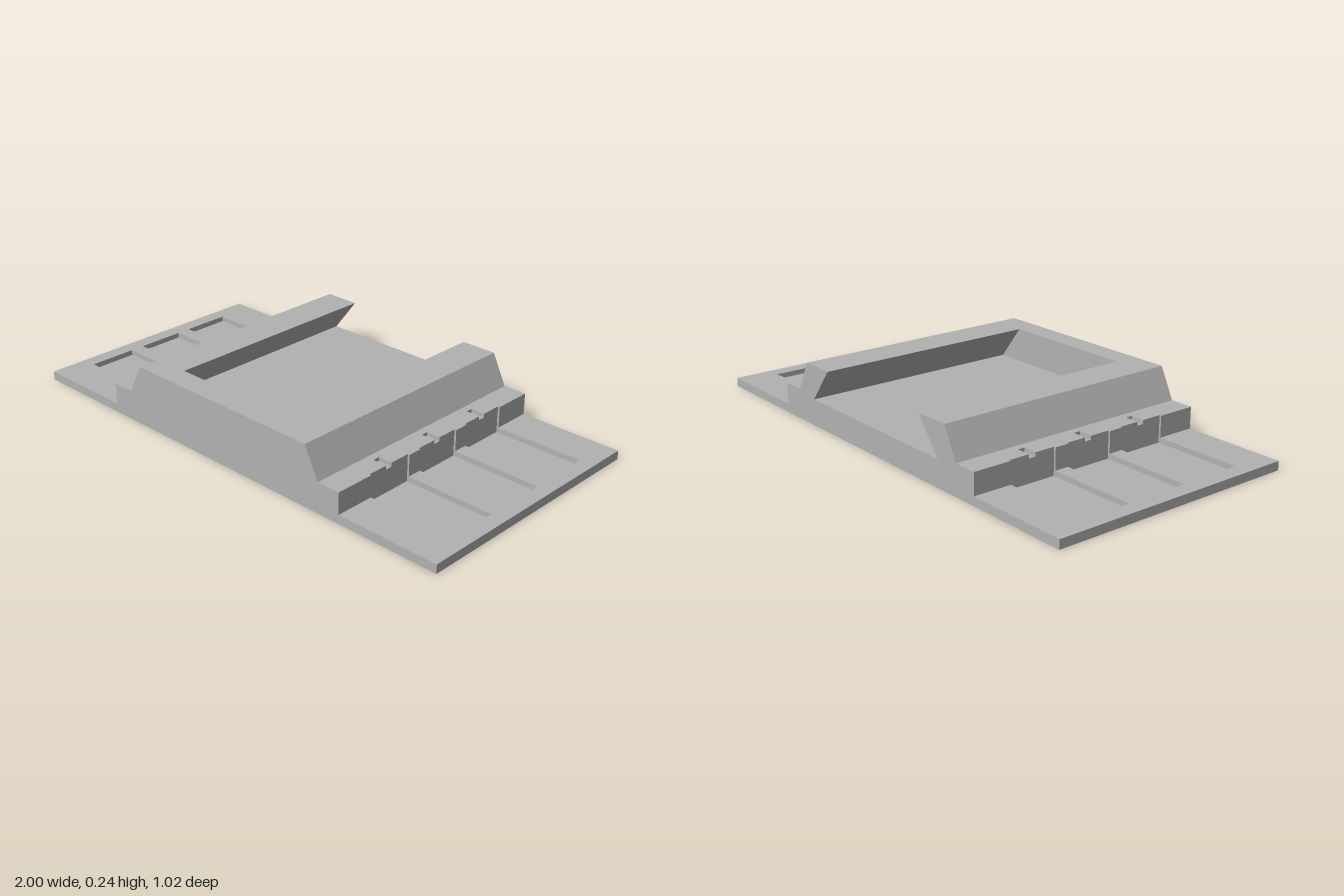
import * as THREE from 'three';

const DEPTH = 1.016, HZ = DEPTH / 2;
const PLATE = 0.035, POCKET = 0.014, FLOOR = 0.105, LEDGE = 0.12, TOP = 0.24;
const WALL = 0.585, RECESS = 0.577, SLOT = 0.52, RAIL = 0.49;
const BAYS = [-0.254, 0, 0.254];
const BAY_HALF = 0.098, SLOT_HALF = 0.014;

const polygon = (pts) => new THREE.Shape(pts.map(([x, y]) => new THREE.Vector2(x, y)));

// Plan outline (x, -z) raised from y0 to y1
function layer(shape, y0, y1) {
  const g = new THREE.ExtrudeGeometry(shape, { depth: y1 - y0, bevelEnabled: false });
  return g.rotateX(-Math.PI / 2).translate(0, y0, 0);
}

// Cross-section (x, y) swept from z0 to z1
function sweep(pts, z0, z1) {
  const g = new THREE.ExtrudeGeometry(polygon(pts), { depth: z1 - z0, bevelEnabled: false });
  return g.translate(0, 0, z0);
}

// Right-hand edge with a rectangular notch at each bay, running upward in plan
function notchedEdge(cuts) {
  const pts = [[WALL, -HZ]];
  for (const c of BAYS) {
    const half = [], other = [];
    for (const [x, h] of cuts) {
      const prev = half.length ? half[half.length - 1][0] : WALL;
      half.push([prev, c - h], [x, c - h]);
      other.unshift([x, c + h], [prev, c + h]);
    }
    pts.push(...half, ...other);
  }
  pts.push([WALL, HZ]);
  return pts;
}

export function createModel() {
  const model = new THREE.Group();
  const grey = new THREE.MeshStandardMaterial({ color: 0xb2b2b2 });
  grey.name = 'grey';

  const add = (name, geometry) => {
    const mesh = new THREE.Mesh(geometry, grey);
    mesh.name = name;
    model.add(mesh);
  };
  const mirror = (pts) => pts.map(([x, y]) => [-x, y]).reverse();

  // Bottom sheet, which also forms the pocket floors
  add('baseSheet', new THREE.BoxGeometry(2, POCKET, DEPTH).translate(0, POCKET / 2, 0));

  // Plate with three pockets on each side
  const plate = polygon([[-1, -HZ], [1, -HZ], [1, HZ], [-1, HZ]]);
  for (const s of [-1, 1]) {
    for (const c of BAYS) {
      const a = s * RECESS, b = s * 0.94;
      plate.holes.push(new THREE.Path([
        new THREE.Vector2(a, c - BAY_HALF), new THREE.Vector2(a, c + BAY_HALF),
        new THREE.Vector2(b, c + BAY_HALF), new THREE.Vector2(b, c - BAY_HALF),
      ]));
    }
  }
  add('pocketPlate', layer(plate, POCKET, PLATE));

  // Raised deck with shallow wall recesses above the pockets
  const edge = notchedEdge([[RECESS, BAY_HALF]]);
  add('deck', layer(polygon([...edge, ...mirror(edge)]), PLATE, FLOOR));

  // Ledges with narrow slots, and undercut rails
  const ledge = [[RAIL, -HZ], ...notchedEdge([[RECESS, BAY_HALF], [SLOT, SLOT_HALF]]), [RAIL, HZ]];
  const rail = [[0.39, FLOOR], [RAIL, FLOOR], [RAIL, LEDGE], [0.43, TOP], [0.285, TOP]];
  add('leftLedge', layer(polygon(ledge), FLOOR, LEDGE));
  add('rightLedge', layer(polygon(mirror(ledge)), FLOOR, LEDGE));
  add('leftRail', sweep(rail, -HZ, HZ));
  add('rightRail', sweep(mirror(rail), -HZ, HZ));

  // Wall closing the front of the dovetail channel
  add('frontWall', sweep([[-0.39, FLOOR], [0.39, FLOOR], [0.285, TOP], [-0.285, TOP]], 0.415, HZ));

  return model;
}
